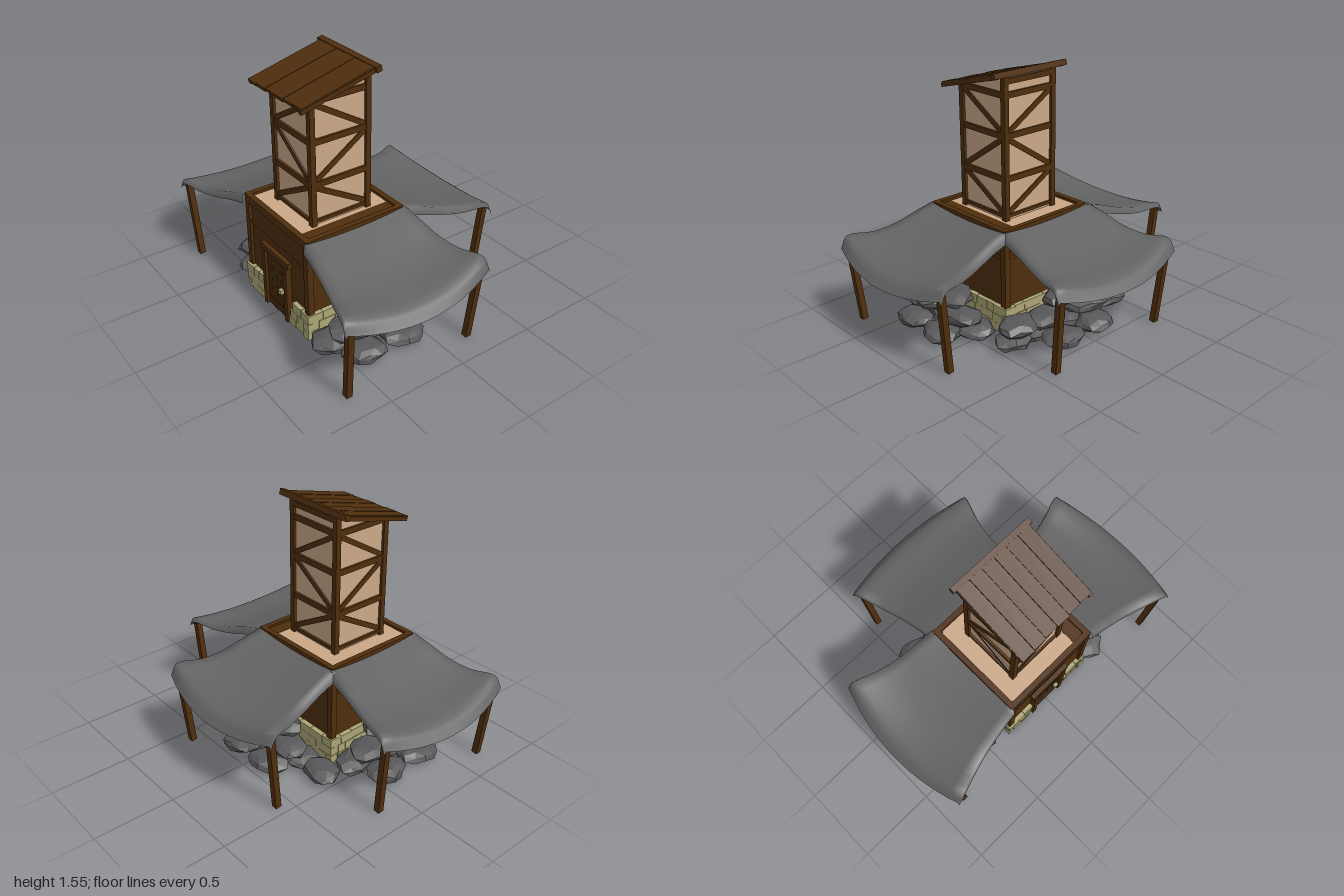
import * as THREE from 'three';

const flat = (name, color, side = THREE.FrontSide) =>
  new THREE.MeshStandardMaterial({ name, color, side });
const M = {
  wood: flat('timber', 0x4f2e0d),
  door: flat('dark timber', 0x44290c),
  plaster: flat('plaster', 0xcba888),
  stone: flat('foundation stone', 0xaca675),
  cloth: flat('awning cloth', 0x636363, THREE.DoubleSide),
  rock: flat('rock', 0x58585a),
  floor: flat('floor', 0xa0866f),
};
const CZ = 0.245; // centre of the hut in z

let seed = 7;
const rand = () => ((seed = (seed * 16807) % 2147483647) / 2147483647);

function add(parent, name, geo, mat) {
  const m = new THREE.Mesh(geo, mat);
  m.name = name;
  parent.add(m);
  return m;
}
function box(parent, name, mat, w, h, d, x, y, z) {
  const m = add(parent, name, new THREE.BoxGeometry(w, h, d), mat);
  m.position.set(x, y, z);
  return m;
}
// Straight timber between two points
function beam(parent, name, mat, a, b, w, d = w) {
  const p = new THREE.Vector3(...a), q = new THREE.Vector3(...b);
  const m = add(parent, name, new THREE.BoxGeometry(w, p.distanceTo(q), d), mat);
  m.position.copy(p).add(q).multiplyScalar(0.5);
  m.quaternion.setFromUnitVectors(new THREE.Vector3(0, 1, 0), q.sub(p).normalize());
  return m;
}
function group(parent, name, x = 0, z = 0, turn = 0) {
  const g = new THREE.Group();
  g.name = name;
  g.position.set(x, 0, z);
  g.rotation.y = turn;
  parent.add(g);
  return g;
}

// Sagging cloth: blends an edge profile with a middle profile, local z is outward
function clothGeometry() {
  const curve = pts => new THREE.CatmullRomCurve3(pts.map(p => new THREE.Vector3(...p)));
  const edge = curve([[.345, .665, 0], [.36, .63, .12], [.385, .58, .27], [.42, .558, .4], [.468, .56, .545], [.475, .49, .585]]);
  const mid = curve([[0, .645, 0], [0, .6, .13], [0, .55, .28], [0, .515, .42], [0, .49, .6], [0, .43, .665]]);
  const rows = 20, cols = 16, pos = [], idx = [];
  for (let i = 0; i <= rows; i++) {
    const e = edge.getPoint(i / rows), c = mid.getPoint(i / rows);
    for (let j = 0; j <= cols; j++) {
      // outermost columns hang down as a hem
      const hem = j === 0 || j === cols;
      const v = hem ? (j ? 1 : -1) : (j - 1) / (cols - 2) * 2 - 1;
      const k = v * v, drop = hem ? 0.06 * (1 - 0.6 * i / rows) : 0;
      pos.push(e.x * v * (hem ? 1.025 : 1), c.y + (e.y - c.y) * k - drop, c.z + (e.z - c.z) * k);
      if (i < rows && j < cols) {
        const a = i * (cols + 1) + j, b = a + cols + 1;
        idx.push(a, b, a + 1, a + 1, b, b + 1);
      }
    }
  }
  const g = new THREE.BufferGeometry();
  g.setAttribute('position', new THREE.Float32BufferAttribute(pos, 3));
  g.setIndex(idx);
  g.computeVertexNormals();
  return g;
}

// Faceted flat boulder
function rockGeometry(hx, hy, hz, k) {
  const g = new THREE.IcosahedronGeometry(1, 1), p = g.attributes.position;
  for (let i = 0; i < p.count; i++) {
    const x = p.getX(i), y = p.getY(i), z = p.getZ(i);
    const s = 1 + 0.1 * Math.sin(5 * x + 3 * y + 4 * z + k * 2.3);
    p.setXYZ(i, x * s * hx, Math.max(-0.85, Math.min(0.9, y * s)) * hy, z * s * hz);
  }
  g.computeVertexNormals();
  return g;
}

const PILE = [[-.25, .05, .12], [-.03, .05, .13], [.2, .05, .13], [-.16, .05, .3], [.1, .05, .3],
  [-.16, .125, .16], [.13, .125, .18], [0, .2, .13]];
const CORNERS = [[-.39, .05, .13], [.38, .05, .13], [-.36, .125, .13]];

function buildAwning(root, name, x, z, turn, rocks) {
  const g = group(root, name, x, z, turn);
  add(g, 'awningCloth', clothGeometry(), M.cloth);
  for (const s of [-1, 1])
    beam(g, 'awningPost', M.wood, [s * .42, .01, .5], [s * .438, .515, .55], .038);
  rocks.forEach(([s, y, d], i) => {
    const r = add(g, 'rock', rockGeometry(.12 + y * .2, .05, .095 + rand() * .02, i), M.rock);
    r.position.set(s, y, d);
    r.rotation.y = (rand() - 0.5) * 0.8;
  });
}

function buildHut(root) {
  const hut = group(root, 'hut', 0, CZ);
  box(hut, 'walls', M.wood, .63, .63, .63, 0, .33, 0);
  box(hut, 'floor', M.floor, .65, .012, .65, 0, .012, 0);
  box(hut, 'deck', M.plaster, .52, .01, .61, -.04, .648, 0);
  box(hut, 'deckEdge', M.wood, .1, .014, .61, .27, .648, 0);
  for (let side = 0; side < 4; side++) {
    const g = group(hut, 'wallSide', 0, 0, side * Math.PI / 2);
    // frame timbers
    box(g, 'cornerPost', M.wood, .04, .65, .04, .313, .335, .313);
    box(g, 'topBeam', M.wood, .66, .05, .035, 0, .645, .318);
    box(g, 'middleBeam', M.wood, .6, .025, .02, 0, .49, .314);
    if (side) beam(g, 'wallBrace', M.wood, [-.29, .51, .314], [.29, .61, .314], .03, .016);
    // foundation stones in three uneven courses, leaving the doorway free
    for (let row = 0; row < 3; row++) {
      let x = -.345;
      while (x < .32) {
        const w = Math.min(.05 + rand() * .06, .345 - x), c = x + w / 2;
        if (side || Math.abs(c) > .14)
          box(g, 'foundationStone', M.stone, w - .002, .054, .035, c, .038 + row * .056 + (rand() - .5) * .004, .322 + rand() * .008);
        x += w;
      }
    }
  }
  // door
  const door = group(hut, 'door', 0, .335);
  for (let i = 0; i < 4; i++)
    box(door, 'doorPlank', M.door, .047, .365 + (i % 2) * .008, .014, -.072 + i * .049, .2, -.004);
  for (const y of [.1, .33]) box(door, 'doorBatten', M.door, .17, .03, .012, 0, y, .006);
  for (const s of [-1, 1]) box(door, 'doorJamb', M.wood, .032, .39, .035, s * .117, .205, 0);
  box(door, 'doorLintel', M.wood, .3, .037, .03, 0, .412, 0);
  box(door, 'doorHandle', M.stone, .028, .028, .024, .065, .195, .014);
}

function buildTower(root) {
  const tower = group(root, 'tower', 0, .25);
  // plaster core with a sloped top
  const s = new THREE.Shape([[-.185, .65], [.185, .65], [.185, 1.415], [-.185, 1.51]].map(p => new THREE.Vector2(...p)));
  const core = add(tower, 'plasterWalls', new THREE.ExtrudeGeometry(s, { depth: .37, bevelEnabled: false }), M.plaster);
  core.rotation.y = -Math.PI / 2;
  core.position.x = .185;
  for (const x of [-1, 1]) {
    box(tower, 'towerPost', M.wood, .034, .77, .034, x * .185, 1.03, .185);
    box(tower, 'towerPost', M.wood, .034, .87, .034, x * .185, 1.08, -.185);
    beam(tower, 'rafter', M.wood, [x * .25, 1.4, .29], [x * .25, 1.525, -.2], .025);
  }
  box(tower, 'towerTopBeam', M.wood, .38, .034, .03, 0, 1.49, -.185);
  // rails and zigzag braces, mirrored on neighbouring faces
  const levels = [.68, .91, 1.17, 1.41];
  for (let side = 0; side < 4; side++) {
    const g = group(tower, 'towerFace', 0, 0, side * Math.PI / 2);
    levels.forEach((y, i) => {
      box(g, 'towerRail', M.wood, .35, i ? .036 : .02, .024, 0, y, .187);
      if (!i) return;
      const d = ((i + side) % 2 ? 1 : -1) * .165;
      beam(g, 'towerBrace', M.wood, [-d, levels[i - 1] + .02, .186], [d, y - .02, .186], .032, .016);
    });
  }
  // sloped plank roof
  const roof = group(tower, 'roof');
  const n = 6, w = .52 / n;
  for (let i = 0; i < n; i++) {
    const x = -.26 + w * (i + .5), k = (rand() - .5) * .03;
    beam(roof, 'roofPlank', M.wood, [x, 1.41 - k * .26, .283 + k], [x, 1.535, -.2], w - .002, .02 + (i % 2) * .004);
  }
  box(roof, 'ridgeBeam', M.wood, .56, .035, .035, 0, 1.532, -.195).rotation.x = .26;
}

export function createModel() {
  seed = 7;
  const root = new THREE.Group();
  root.name = 'watchtowerHut';
  buildHut(root);
  buildTower(root);
  buildAwning(root, 'leftAwning', .33, CZ, Math.PI / 2, PILE);
  buildAwning(root, 'rightAwning', -.33, CZ, -Math.PI / 2, PILE);
  buildAwning(root, 'backAwning', -.01, -.085, Math.PI, [...PILE, ...CORNERS]);
  return root;
}
